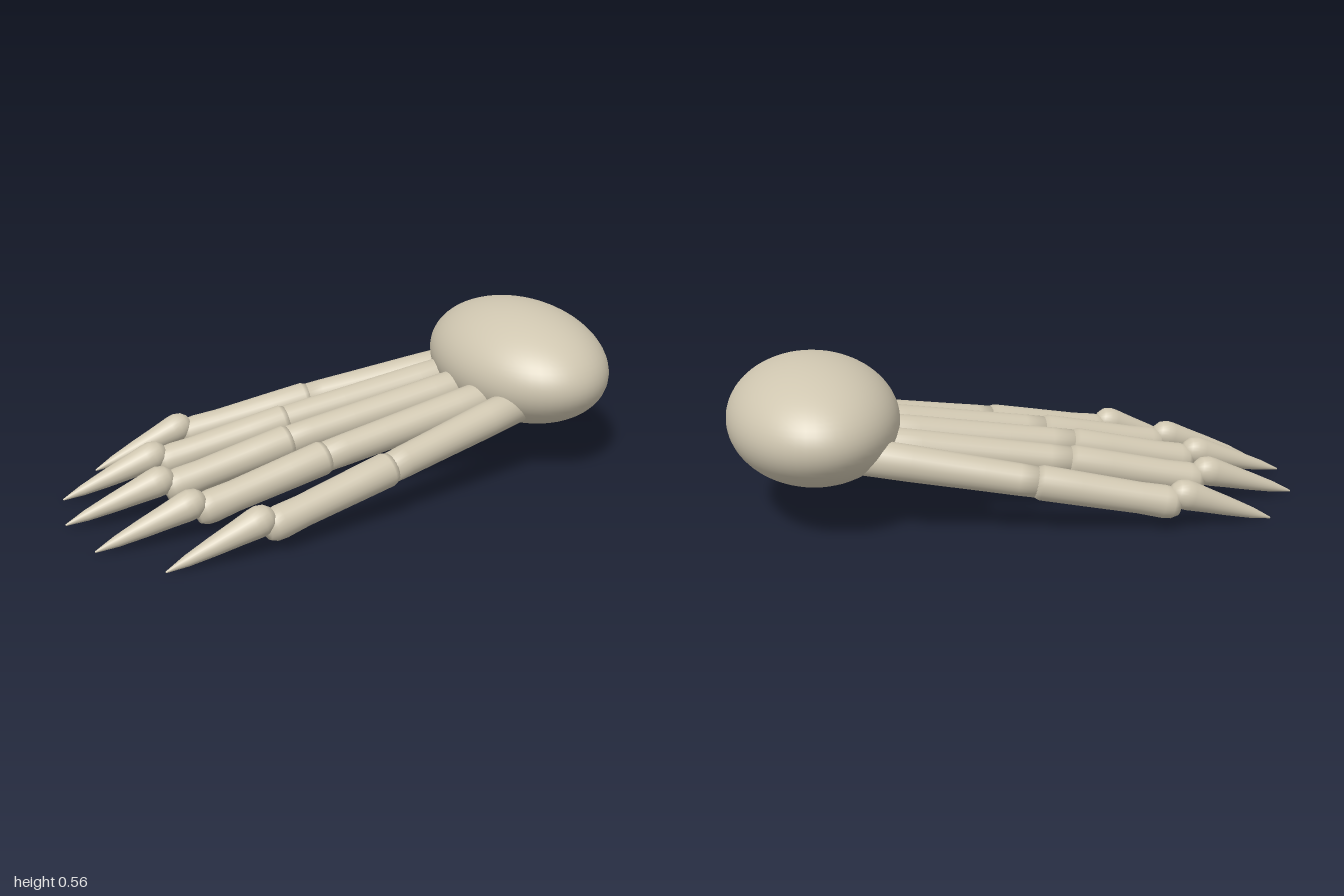
import * as THREE from 'three';

const bone = new THREE.MeshStandardMaterial({ color: 0xcfc6b0 });
bone.name = 'bone';

// Lathe laid from point a to point b; profile is [radius, fraction of the length]
function limb(name, a, b, profile) {
  const start = new THREE.Vector3(...a);
  const dir = new THREE.Vector3(...b).sub(start);
  const len = dir.length();
  const pts = profile.map(([r, t]) => new THREE.Vector2(r, t * len));
  const mesh = new THREE.Mesh(new THREE.LatheGeometry(pts, 24), bone);
  mesh.name = name;
  mesh.position.copy(start);
  mesh.quaternion.setFromUnitVectors(new THREE.Vector3(0, 1, 0), dir.normalize());
  return mesh;
}

const innerProfile = [[0, 0], [0.062, 0.02], [0.061, 0.3], [0.056, 0.7], [0.054, 0.9], [0.052, 1], [0, 1.03]];
const outerProfile = [[0, -0.03], [0.05, -0.02], [0.059, 0.03], [0.057, 0.3], [0.053, 0.75], [0.056, 0.93],
  [0.053, 1], [0.04, 1.05], [0, 1.07]];
const clawProfile = [[0, -0.04], [0.024, -0.025], [0.042, 0.02], [0.051, 0.09], [0.05, 0.16], [0.042, 0.32],
  [0.032, 0.55], [0.019, 0.8], [0.003, 0.995], [0, 1]];

// Joints of one finger: root, middle joint, knuckle, claw base, claw tip
function finger(name, root, joint, knuckle, clawBase, tip) {
  const g = new THREE.Group();
  g.name = name;
  g.add(limb('innerBone', root, joint, innerProfile));
  g.add(limb('outerBone', joint, knuckle, outerProfile));
  g.add(limb('claw', clawBase, tip, clawProfile));
  return g;
}

export function createModel() {
  const model = new THREE.Group();
  model.name = 'clawedFoot';

  // Egg-shaped heel
  const heel = new THREE.Mesh(new THREE.SphereGeometry(1, 56, 36), bone);
  heel.name = 'heel';
  heel.scale.set(0.289, 0.207, 0.413);
  heel.position.set(0.711, 0.355, 0);
  model.add(heel);

  // Middle finger
  model.add(finger('middleFinger', [0.6, 0.305, 0], [-0.2, 0.183, 0], [-0.63, 0.09, 0],
    [-0.635, 0.13, 0], [-1, 0.02, 0]));

  // Mirrored pairs
  for (const [s, side] of [[1, 'front'], [-1, 'back']]) {
    model.add(finger(side + 'InnerFinger', [0.6, 0.3, s * 0.135], [-0.14, 0.183, s * 0.178],
      [-0.59, 0.09, s * 0.209], [-0.595, 0.13, s * 0.212], [-0.957, 0.012, s * 0.21]));
    model.add(finger(side + 'OuterFinger', [0.6, 0.285, s * 0.235], [0.02, 0.183, s * 0.352],
      [-0.43, 0.093, s * 0.417], [-0.435, 0.133, s * 0.42], [-0.788, 0.005, s * 0.418]));
  }
  return model;
}
